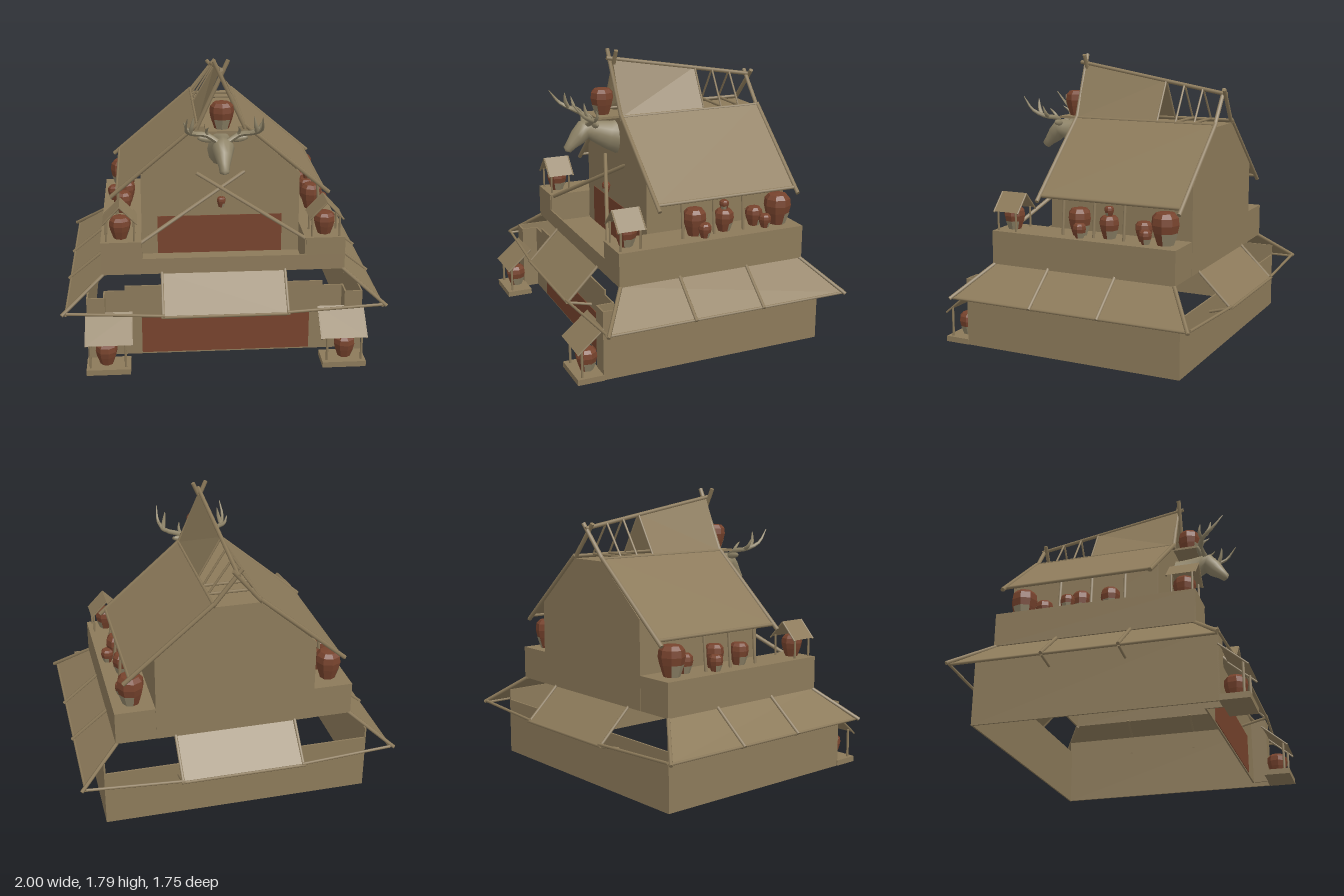
import * as THREE from 'three';

const mat = (name, color) => {
  const m = new THREE.MeshStandardMaterial({ color, side: THREE.DoubleSide });
  m.name = name;
  return m;
};
const V = (a) => new THREE.Vector3(...a);

export function createModel() {
  const root = new THREE.Group();
  root.name = 'shrineHouse';
  const wood = mat('weathered wood', 0x8c7a5a);
  const clay = mat('red clay', 0x77432d);
  const bone = mat('pale bone', 0x8f8468);

  const add = (name, geo, m = wood, parent = root) => {
    const mesh = new THREE.Mesh(geo, m);
    mesh.name = name;
    parent.add(mesh);
    return mesh;
  };
  // box given by its min and max corners
  const box = (name, x0, x1, y0, y1, z0, z1, m) => add(name,
    new THREE.BoxGeometry(Math.abs(x1 - x0), y1 - y0, z1 - z0)
      .translate((x0 + x1) / 2, (y0 + y1) / 2, (z0 + z1) / 2), m);
  // round pole between two points
  const pole = (name, a, b, r = 0.011, m = wood) => {
    const p = V(a), q = V(b), d = q.clone().sub(p);
    const mesh = add(name, new THREE.CylinderGeometry(r, r, d.length(), 6), m);
    mesh.position.copy(p).add(q).multiplyScalar(0.5);
    mesh.quaternion.setFromUnitVectors(new THREE.Vector3(0, 1, 0), d.normalize());
  };
  // flat four-cornered panel
  const panel = (name, a, b, c, d) => {
    const g = new THREE.BufferGeometry();
    g.setAttribute('position', new THREE.Float32BufferAttribute([...a, ...b, ...c, ...a, ...c, ...d], 3));
    g.computeVertexNormals();
    return add(name, g);
  };
  // faceted pot with a pale patch low on one side
  const jarProfile = [[0.001, 0], [0.6, 0], [0.88, 0.38], [1, 0.62], [0.94, 0.84], [0.68, 0.97], [0.001, 1]];
  const facet = (g) => {
    const f = g.toNonIndexed();
    f.computeVertexNormals();
    return f;
  };
  const jar = (x, y, z, r, h, patch = 0.2) => {
    const pts = (list, k) => list.map(([u, v]) => new THREE.Vector2(u * r * k, v * h));
    const g = new THREE.Group();
    g.name = 'jar';
    add('jarBody', facet(new THREE.LatheGeometry(pts(jarProfile, 1), 8)), clay, g);
    add('jarPatch', facet(new THREE.LatheGeometry(pts(jarProfile.slice(1, 3), 1.03), 2, 0, Math.PI / 2)), bone, g);
    g.position.set(x, y, z);
    g.rotation.y = patch;
    root.add(g);
  };

  // ground storey: open shell, its front wall set back between the corners
  box('frontWall', -0.74, 0.74, 0, 0.43, 0.61, 0.62);
  box('frontWallTop', -0.61, 0.61, 0.43, 0.46, 0.61, 0.62);
  box('backWall', -0.84, 0.84, 0, 0.36, -0.72, -0.71);
  box('lowerDoor', -0.51, 0.53, 0.01, 0.26, 0.607, 0.624, clay);

  // upper storey: hollow platform with a sunken porch
  box('platformFront', -0.75, 0.75, 0.52, 0.62, 0.57, 0.58);
  box('platformBack', -0.75, 0.75, 0.52, 0.73, -0.65, -0.64);
  box('porchFloor', -0.51, 0.51, 0.53, 0.54, 0.3, 0.57);
  box('upperDoor', -0.4, 0.39, 0.54, 0.79, 0.284, 0.301, clay);

  // house ends with a sloped gable, and the loft floor
  const gable = new THREE.Shape([[-0.5, 0.52], [0.5, 0.52], [0.5, 1.06], [0.14, 1.37], [-0.14, 1.37], [-0.5, 1.06]]
    .map(([x, y]) => new THREE.Vector2(x, y)));
  for (const z of [-0.652, 0.288]) {
    add('gableWall', new THREE.ExtrudeGeometry(gable, { depth: 0.01, bevelEnabled: false }).translate(0, 0, z));
  }
  box('loftFloor', -0.14, 0.14, 1.36, 1.37, -0.645, 0.29);

  const ridge = (z) => 1.73 - (0.31 - z) * 0.165;
  for (const s of [-1, 1]) {
    box('sideWall', s * 0.84, s * 0.83, 0, 0.43, -0.72, 0.72);
    box('cornerWall', s * 0.74, s * 0.84, 0, 0.43, 0.71, 0.72);
    box('cornerReturn', s * 0.73, s * 0.74, 0, 0.43, 0.61, 0.72);
    box('platformSide', s * 0.74, s * 0.75, 0.52, 0.73, -0.65, 0.58);
    box('platformCorner', s * 0.51, s * 0.75, 0.62, 0.73, 0.57, 0.58);
    box('sideLedge', s * 0.5, s * 0.75, 0.72, 0.73, -0.65, 0.58);
    box('porchSide', s * 0.5, s * 0.51, 0.53, 0.73, 0.3, 0.575);
    box('houseSide', s * 0.49, s * 0.5, 0.52, 1.06, -0.645, 0.295);

    // skirt roof on the side, with ribs, brackets, eave and corner poles
    panel('sideSkirtRoof', [s * 0.74, 0.52, 0.57], [s * 0.965, 0.34, 0.73], [s * 0.965, 0.34, -0.81], [s * 0.74, 0.52, -0.64]);
    for (const z of [0.19, -0.26]) {
      pole('skirtRib', [s * 0.74, 0.53, z], [s * 0.98, 0.335, z]);
      pole('skirtBracket', [s * 0.83, 0.31, z], [s * 0.97, 0.33, z], 0.009);
    }
    pole('sideEave', [s * 0.965, 0.335, 0.74], [s * 0.965, 0.335, -0.82], 0.009);
    for (const [zi, zo, ze, zw] of [[0.57, 0.745, 0.78, 0.62], [-0.64, -0.83, -0.86, -0.72]]) {
      pole('cornerPole', [s * 0.74, 0.52, zi], [s * 0.99, 0.335, zo], 0.012);
      pole('endEave', [s * 0.96, 0.345, zo], [s * 0.37, 0.33, ze], 0.009);
      pole('endRib', [s * 0.38, 0.53, zi], [s * 0.38, 0.315, ze], 0.01);
      pole('endBracket', [s * 0.38, 0.28, zw], [s * 0.38, 0.32, ze], 0.009);
    }

    // main and steep upper roof panels
    panel('roofPanel', [s * 0.655, 0.955, 0.3], [s * 0.655, 0.955, -0.64], [s * 0.145, 1.39, -0.64], [s * 0.145, 1.39, 0.3]);
    panel('upperRoofPanel', [s * 0.145, 1.385, 0.31], [s * 0.145, 1.385, -0.26], [0, ridge(-0.26), -0.26], [0, ridge(0.31), 0.31]);
    pole('roofEave', [s * 0.65, 0.955, 0.3], [s * 0.65, 0.955, -0.65]);
    pole('roofPurlin', [s * 0.145, 1.385, 0.31], [s * 0.145, 1.385, -0.65], 0.01);
    for (const z of [-0.26, -0.385, -0.51]) pole('openRafter', [s * 0.145, 1.385, z], [0, ridge(z), z], 0.007);

    // gable poles, crossing above the ridge
    pole('frontGablePole', [s * 0.69, 0.925, 0.295], [s * 0.14, 1.39, 0.31], 0.014);
    pole('frontCrossPole', [s * 0.15, 1.36, 0.31], [-s * 0.045, 1.785, 0.315 + s * 0.012], 0.014);
    pole('backGablePole', [s * 0.69, 0.925, -0.645], [s * 0.14, 1.39, -0.65], 0.014);
    pole('backCrossPole', [s * 0.15, 1.37, -0.645], [-s * 0.03, 1.59, -0.65 + s * 0.012], 0.014);

    // eave posts on the ledge and crossed porch poles
    for (const z of [0.13, -0.08, -0.28]) pole('eavePost', [s * 0.66, 0.73, z], [s * 0.64, 0.96, z], 0.01);
    pole('porchCrossPole', [s * 0.52, 0.71, 0.56], [-s * 0.15, 1.075, 0.3 + s * 0.01], 0.013);

    // small gabled shelter on the porch corner
    const cx = s * 0.63;
    for (const d of [-1, 1]) {
      panel('shelterRoof', [cx, 0.96, 0.4], [cx, 0.96, 0.58], [cx + d * 0.105, 0.85, 0.58], [cx + d * 0.105, 0.85, 0.4]);
      for (const z of [0.405, 0.575]) pole('shelterRafter', [cx, 0.955, z], [cx + d * 0.105, 0.845, z], 0.006);
      for (const z of [0.43, 0.555]) pole('shelterPost', [cx + d * 0.085, 0.73, z], [cx + d * 0.085, 0.86, z], 0.007);
    }
    jar(cx, 0.73, 0.49, 0.068, 0.14, 1);

    // ground shelter beside the door
    box('shelterBase', s * 0.58, s * 0.845, 0, 0.035, 0.715, 0.88);
    panel('shelterRoof', [s * 0.565, 0.335, 0.715], [s * 0.85, 0.335, 0.715], [s * 0.85, 0.195, 0.88], [s * 0.565, 0.195, 0.88]);
    for (const x of [0.571, 0.844]) pole('shelterRafter', [s * x, 0.328, 0.715], [s * x, 0.19, 0.878], 0.006);
    for (const x of [0.61, 0.82]) pole('shelterPost', [s * x, 0.03, 0.845], [s * x, 0.217, 0.845], 0.008);
    jar(s * 0.725, 0.035, 0.785, 0.067, 0.14, 1);
  }

  // front and back skirt roofs
  panel('frontSkirtRoof', [-0.38, 0.52, 0.57], [-0.38, 0.32, 0.78], [0.38, 0.32, 0.78], [0.38, 0.52, 0.57]);
  panel('backSkirtRoof', [-0.38, 0.52, -0.64], [0.38, 0.52, -0.64], [0.38, 0.32, -0.86], [-0.38, 0.32, -0.86]);
  for (const z of [0.78, -0.86]) pole('skirtEave', [-0.39, 0.32, z], [0.39, 0.32, z], 0.009);
  pole('ridgePole', [0, ridge(0.34), 0.35], [0, ridge(-0.66) - 0.01, -0.67], 0.013);
  for (const z of [-0.39, -0.51]) pole('roofRung', [-0.14, 1.39, z], [0.14, 1.39, z], 0.009);

  // jars on the side ledges: z, radius, height, x
  const right = [[0.035, 0.072, 0.17, 0.62], [0, 0.042, 0.09, 0.69], [-0.165, 0.062, 0.14, 0.62], [-0.385, 0.055, 0.12, 0.6], [-0.425, 0.04, 0.085, 0.67], [-0.535, 0.085, 0.195, 0.63]];
  const left = [[0.03, 0.06, 0.14, 0.62], [-0.22, 0.045, 0.1, 0.68], [-0.16, 0.06, 0.15, 0.6], [-0.4, 0.055, 0.12, 0.6], [-0.52, 0.082, 0.19, 0.63]];
  for (const [z, r, h, x] of right) jar(x, 0.73, z, r, h, 1.7);
  for (const [z, r, h, x] of left) jar(-x, 0.73, z, r, h, 4);
  jar(0.62, 0.865, -0.165, 0.03, 0.06);

  // hanging pot, and the pot on its shelf over the gable
  jar(0, 0.87, 0.365, 0.028, 0.065);
  pole('hangingCord', [0, 0.93, 0.365], [0, 1, 0.365], 0.003);
  box('gableShelf', -0.1, 0.1, 1.37, 1.385, 0.28, 0.46);
  jar(0, 1.385, 0.385, 0.075, 0.165, -0.8);

  // deer head: rings of y, z, half width, half height, tilt
  const rings = [[1.225, 0.29, 0.085, 0.11, 0], [1.245, 0.35, 0.07, 0.09, -0.2], [1.27, 0.42, 0.055, 0.074, -0.15],
    [1.285, 0.47, 0.056, 0.068, 0.1], [1.293, 0.51, 0.068, 0.062, 0.4], [1.25, 0.55, 0.052, 0.055, 0.75],
    [1.205, 0.595, 0.034, 0.036, 0.8], [1.175, 0.622, 0.029, 0.028, 0.85], [1.165, 0.632, 0.002, 0.002, 0.85]];
  const n = 12, pos = [], idx = [];
  rings.forEach(([y, z, w, h, t], i) => {
    for (let j = 0; j < n; j++) {
      const a = (j / n) * Math.PI * 2, u = Math.sin(a) * h;
      pos.push(Math.cos(a) * w, y + u * Math.cos(t), z + u * Math.sin(t));
      if (i) {
        const p = (i - 1) * n + j, q = (i - 1) * n + (j + 1) % n;
        idx.push(p, q, p + n, q, q + n, p + n);
      }
    }
  });
  const head = new THREE.BufferGeometry();
  head.setAttribute('position', new THREE.Float32BufferAttribute(pos, 3));
  head.setIndex(idx);
  head.computeVertexNormals();
  add('deerHead', head, bone);

  // ears and tapering antlers
  const horn = (pts, r) => {
    const curve = new THREE.CatmullRomCurve3(pts.map(V));
    const g = new THREE.TubeGeometry(curve, 10, r, 6), p = g.attributes.position;
    for (let i = 0; i < p.count; i++) {
      const t = Math.floor(i / 7) / 10, c = curve.getPointAt(t);
      const v = new THREE.Vector3().fromBufferAttribute(p, i).sub(c).multiplyScalar(1 - 0.85 * t * t).add(c);
      p.setXYZ(i, v.x, v.y, v.z);
    }
    g.computeVertexNormals();
    add('antler', g, bone);
  };
  for (const s of [-1, 1]) {
    const ear = add('ear', new THREE.SphereGeometry(1, 8, 6).scale(0.055, 0.02, 0.014), bone);
    ear.position.set(s * 0.1, 1.34, 0.47);
    ear.rotation.z = s * 0.15;
    horn([[s * 0.03, 1.33, 0.5], [s * 0.1, 1.37, 0.48], [s * 0.19, 1.39, 0.52], [s * 0.225, 1.43, 0.59], [s * 0.22, 1.515, 0.66]], 0.018);
    horn([[s * 0.17, 1.385, 0.51], [s * 0.215, 1.41, 0.5], [s * 0.235, 1.46, 0.51]], 0.014);
    horn([[s * 0.2, 1.4, 0.54], [s * 0.19, 1.44, 0.56], [s * 0.18, 1.5, 0.57]], 0.014);
    horn([[s * 0.09, 1.365, 0.48], [s * 0.1, 1.4, 0.5], [s * 0.09, 1.43, 0.54]], 0.011);
  }
  return root;
}
